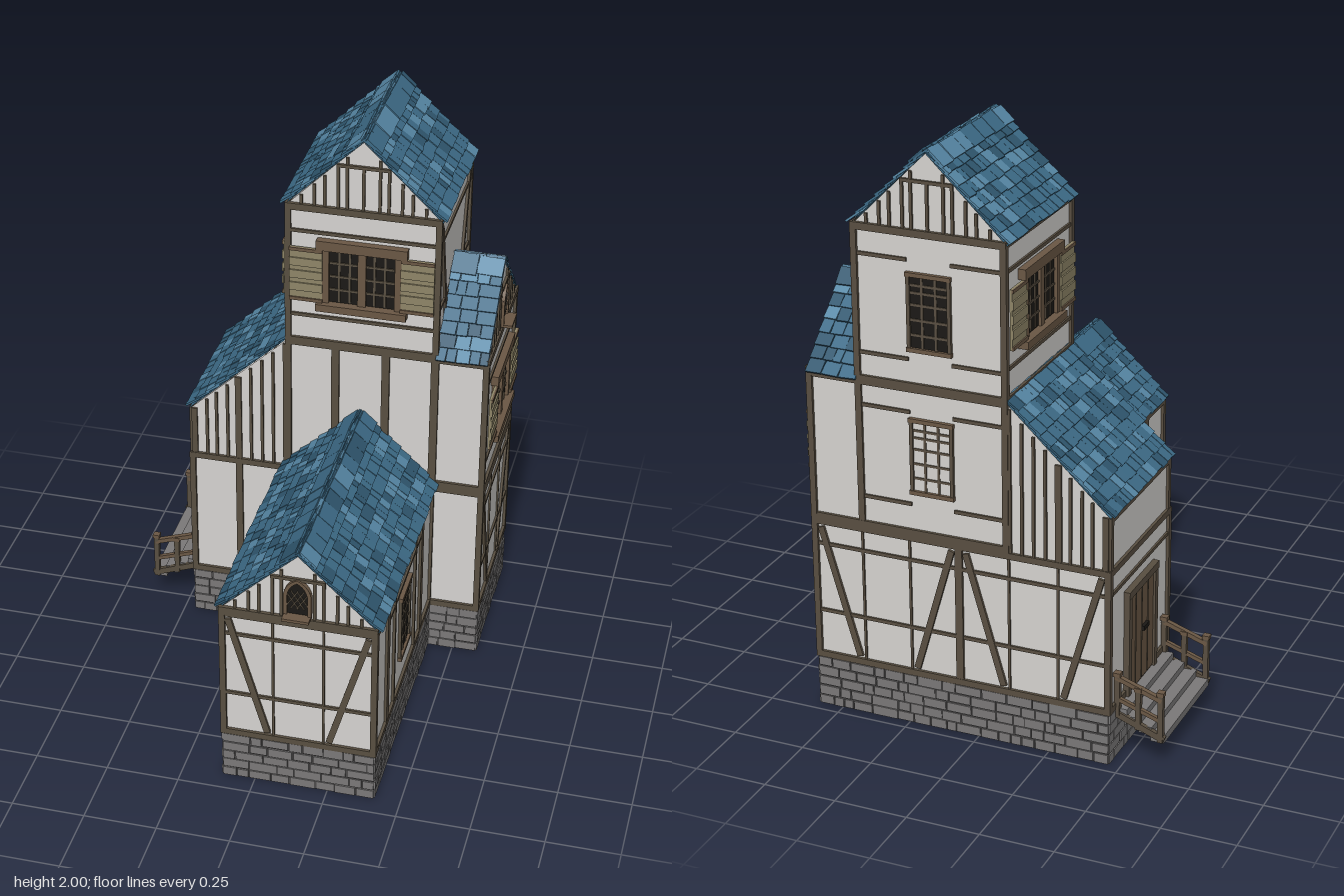
import * as THREE from 'three';
import { mergeGeometries } from 'three/addons/utils/BufferGeometryUtils.js';

const mat = (name, color, side = THREE.FrontSide) => {
  const m = new THREE.MeshStandardMaterial({ color, side });
  m.name = name;
  return m;
};

export function createModel() {
  const M = {
    plaster: mat('plaster', 0xd6d4d1, THREE.DoubleSide),
    timber: mat('timber', 0x594f41),
    frame: mat('window wood', 0x6b5845),
    pane: mat('dark glass', 0x1b1916),
    shutter: mat('shutter', 0x8f8668),
    stone: mat('stone', 0x7b7979),
    mortar: mat('mortar', 0x4c4a4a),
    slate: mat('slate blue', 0x3d6b87, THREE.DoubleSide),
    slateLight: mat('slate light', 0x5788a6),
    slateDark: mat('slate dark', 0x2f566e),
  };
  let seed = 7;
  const rnd = (a = 0, b = 1) => {
    seed = (seed * 16807) % 2147483647;
    return a + (b - a) * (seed / 2147483647);
  };
  const house = new THREE.Group();
  house.name = 'timberHouse';

  const add = (parent, name, geo, m) => {
    const mesh = new THREE.Mesh(geo, m);
    mesh.name = name;
    parent.add(mesh);
    return mesh;
  };
  const box = (p, name, m, w, h, d, x, y, z) => {
    const mesh = add(p, name, new THREE.BoxGeometry(w, h, d), m);
    mesh.position.set(x, y, z);
    return mesh;
  };
  // Straight bar between two points of a wall face
  const bar = (p, name, m, x1, y1, x2, y2, w = 0.014, d = 0.009, z = d / 2) => {
    const b = box(p, name, m, Math.hypot(x2 - x1, y2 - y1), w, d, (x1 + x2) / 2, (y1 + y2) / 2, z);
    b.rotation.z = Math.atan2(y2 - y1, x2 - x1);
    return b;
  };
  // Wall face group: local x along the wall, y up, z outward
  const face = (name, x, z, angle) => {
    const g = new THREE.Group();
    g.name = name;
    g.position.set(x, 0, z);
    g.rotation.y = angle;
    house.add(g);
    return g;
  };
  const FRONT = 0, RIGHT = Math.PI / 2, BACK = Math.PI, LEFT = -Math.PI / 2;
  // Flat convex wall panel in a face group
  const panel = (g, pts) => add(g, 'plasterWall',
    new THREE.ShapeGeometry(new THREE.Shape(pts.map(([x, y]) => new THREE.Vector2(x, y)))), M.plaster);

  // Footprints as (x, z) loops
  const ground = [[-.455, -.19], [-.105, -.19], [-.105, .675], [.405, .675], [.405, -.19], [.58, -.19], [.58, -.705], [-.455, -.705]];
  const middle = [[-.105, -.19], [.58, -.19], [.58, -.705], [-.105, -.705]];
  const tower = [[-.105, -.19], [.405, -.19], [.405, -.705], [-.105, -.705]];

  const storey = (name, loop, y0, y1, trim0, plinth) => loop.forEach(([x, z], i) => {
    const [x2, z2] = loop[(i + 1) % loop.length];
    const w = Math.hypot(x2 - x, z2 - z);
    const g = face(name, (x + x2) / 2, (z + z2) / 2, Math.atan2(-(z2 - z), x2 - x));
    panel(g, [[-w / 2, y0], [w / 2, y0], [w / 2, y1], [-w / 2, y1]]);
    for (const y of [trim0 + 0.011, y1 - 0.009]) box(g, 'wallRail', M.timber, w + 0.018, 0.022, 0.01, 0, y, 0.005);
    box(house, 'cornerPost', M.timber, 0.026, y1 - trim0, 0.026, x, (trim0 + y1) / 2, z).scale.set(0.8, 1, 0.8);
    if (!plinth) return;
    // Stone plinth: irregular blocks on a mortar backing
    box(g, 'plinthMortar', M.mortar, w + 0.006, 0.18, 0.003, 0, 0.09, 0.0025);
    const blocks = [];
    for (let r = 0; r < 5; r++) {
      for (let u = -w / 2 - 0.006; u < w / 2 + 0.005;) {
        let bw = rnd(0.035, 0.1);
        if (u + bw > w / 2 - 0.02) bw = w / 2 + 0.006 - u;
        const b = new THREE.BoxGeometry(bw - 0.005, 0.036 - rnd(0.003, 0.007), 0.006);
        b.translate(u + bw / 2, r * 0.036 + 0.018, 0.004 + rnd(0, 0.003));
        blocks.push(b);
        u += bw;
      }
    }
    add(g, 'plinthStones', mergeGeometries(blocks), M.stone);
  });
  storey('groundFloor', ground, 0, 0.69, 0.18, true);
  storey('middleFloor', middle, 0.69, 1.21, 0.69);
  storey('towerFloor', tower, 1.2, 1.73, 1.2);

  // Braced half-timber panel
  const braces = (g, cx, y0, h, studs = true) => {
    for (const s of [-1, 1]) {
      bar(g, 'brace', M.timber, cx + s * 0.235, y0 + h * 0.94, cx + s * 0.105, y0 + 0.02, 0.022);
      if (studs) bar(g, 'thinStud', M.timber, cx + s * 0.085, y0, cx + s * 0.085, y0 + h, 0.008, 0.006);
    }
    for (const f of [0.33, 0.82]) bar(g, 'rail', M.timber, cx - 0.25, y0 + h * f, cx + 0.25, y0 + h * f, 0.012, 0.007);
  };
  // Small latticed window
  const window_ = (g, cx, cy, paneMat = M.pane, w = 0.14, h = 0.25) => {
    box(g, 'windowPane', paneMat, w, h, 0.008, cx, cy, 0);
    for (const s of [-1, 1]) {
      box(g, 'windowJamb', M.timber, 0.012, h, 0.016, cx + s * w / 2, cy, 0.003);
      box(g, 'windowHead', M.frame, w + 0.016, 0.014, 0.02, cx, cy + s * h / 2, 0.004);
    }
    for (const f of [-1 / 6, 1 / 6]) box(g, 'muntin', M.timber, 0.008, h, 0.012, cx + f * w, cy, 0.001);
    for (const f of [-0.3, -0.1, 0.1, 0.26, 0.36]) box(g, 'muntin', M.timber, w, 0.008, 0.012, cx, cy + f * h, 0.001);
  };
  // Wide window with open slatted shutters
  const shuttered = (g, cy) => {
    box(g, 'windowPane', M.pane, 0.25, 0.2, 0.008, 0, cy, 0.002);
    box(g, 'windowHeader', M.frame, 0.31, 0.035, 0.028, 0, cy + 0.118, 0.012);
    box(g, 'windowSill', M.frame, 0.31, 0.026, 0.036, 0, cy - 0.115, 0.016);
    box(g, 'windowMullion', M.frame, 0.028, 0.2, 0.016, 0, cy, 0.008);
    for (const s of [-1, 1]) {
      box(g, 'windowJamb', M.frame, 0.022, 0.2, 0.018, s * 0.123, cy, 0.009);
      for (const f of [0.042, 0.078]) box(g, 'muntin', M.timber, 0.007, 0.19, 0.01, s * f, cy, 0.005);
      for (const f of [-0.05, 0, 0.05]) box(g, 'muntin', M.timber, 0.1, 0.007, 0.01, s * 0.06, cy + f, 0.005);
      box(g, 'shutter', M.shutter, 0.112, 0.2, 0.008, s * 0.19, cy, 0.016);
      for (let k = 0; k < 5; k++) box(g, 'shutterSlat', k % 4 ? M.shutter : M.frame, 0.114, k % 4 ? 0.03 : 0.012, 0.006, s * 0.19, cy - 0.094 + k * 0.047, 0.022);
    }
    for (const y of [cy - 0.165, cy + 0.155]) bar(g, 'rail', M.timber, -0.255, y, 0.255, y, 0.012, 0.007);
  };
  // Arched gable window
  const arch = (w, h) => {
    const s = new THREE.Shape();
    s.moveTo(-w / 2, 0).lineTo(w / 2, 0).lineTo(w / 2, h * 0.6);
    s.quadraticCurveTo(w * 0.42, h * 0.88, 0, h).quadraticCurveTo(-w * 0.42, h * 0.88, -w / 2, h * 0.6);
    return s;
  };
  const archedWindow = (g, y) => {
    const rim = arch(0.092, 0.145);
    rim.holes.push(new THREE.Path(arch(0.068, 0.125).getPoints(8).map(p => p.setY(p.y + 0.008))));
    add(g, 'archFrame', new THREE.ExtrudeGeometry(rim, { depth: 0.016, bevelEnabled: false, curveSegments: 8 }), M.frame).position.y = y;
    add(g, 'archPane', new THREE.ShapeGeometry(arch(0.08, 0.138)), M.pane).position.set(0, y, 0.008);
    for (const s of [-1, 1]) for (const c of [-0.018, 0.002, 0.022])
      bar(g, 'lattice', M.timber, s * (c - 0.025), y + 0.03, s * (c + 0.02), y + 0.1, 0.004, 0.003, 0.011);
    box(g, 'archSill', M.frame, 0.09, 0.01, 0.045, 0, y + 0.003, 0.0225);
  };
  // Plastered gable with studs
  const gable = (name, x, z, a, y, h, arched) => {
    const g = face(name, x, z, a);
    panel(g, [[-0.262, y], [0.262, y], [0, y + h]]);
    bar(g, 'tieBeam', M.timber, -0.265, y, 0.265, y, 0.024, 0.012);
    bar(g, 'collar', M.timber, -0.09, y + h * 0.64, 0.09, y + h * 0.64, 0.011);
    for (const u of [0.055, 0.085, 0.13, 0.165, 0.21]) for (const s of [-1, 1])
      bar(g, 'gableStud', M.timber, s * u, y, s * u, y + h * (1 - u / 0.262) - 0.008, 0.01, 0.007);
    if (arched) archedWindow(g, y + 0.02);
    else bar(g, 'gableStud', M.timber, 0, y, 0, y + h * 0.64, 0.01, 0.007);
  };

  // Ground floor timber
  braces(face('wingFront', 0.15, 0.675, FRONT), 0, 0.19, 0.5);
  braces(face('rightWallLower', 0.58, -0.4475, RIGHT), 0, 0.19, 0.5);
  const backLow = face('backWallLower', 0.0625, -0.705, BACK);
  for (const s of [-1, 1]) braces(backLow, s * 0.26, 0.19, 0.5);
  bar(backLow, 'post', M.timber, 0, 0.18, 0, 0.69, 0.026);
  for (const s of [-1, 1]) {
    const g = face('wingSide', 0.15 + s * 0.255, 0.2425, s > 0 ? RIGHT : LEFT);
    for (const [u, w] of [[0.262, 0.034], [0.16, 0.014]]) for (const k of [-1, 1])
      bar(g, 'wingPost', M.timber, k * u, 0.18, k * u, 0.69, w);
    bar(g, 'rail', M.timber, -0.26, 0.6, 0.26, 0.6, 0.012, 0.007);
    window_(g, 0, 0.435);
  }
  // Front of the cross range
  const cross = face('rangeFront', 0, -0.19, FRONT);
  bar(cross, 'post', M.timber, -0.285, 0.18, -0.285, 0.69, 0.024);
  for (const x of [0.06, 0.235, 0.405]) bar(cross, 'post', M.timber, x, 0.69, x, 1.2, 0.027);
  // Upper windows and braces
  shuttered(face('rightWindow', 0.58, -0.4475, RIGHT), 0.96);
  shuttered(face('towerFrontWindow', 0.15, -0.19, FRONT), 1.475);
  shuttered(face('towerLeftWindow', -0.105, -0.4475, LEFT), 1.475);
  braces(face('towerRight', 0.405, -0.4475, RIGHT), 0, 1.21, 0.51, false);
  const back = face('towerBack', 0.15, -0.705, BACK);
  window_(back, 0, 0.97, M.plaster);
  window_(back, 0, 1.46);
  for (const y of [0.8, 1.12, 1.3, 1.63]) for (const s of [-1, 1])
    bar(back, 'rail', M.timber, s * 0.075, y, s * 0.25, y, 0.012, 0.007);
  bar(back, 'post', M.timber, -0.255, 0.69, -0.255, 1.2, 0.022);

  // Gables
  gable('towerGableFront', 0.15, -0.19, FRONT, 1.72, 0.262);
  gable('towerGableBack', 0.15, -0.705, BACK, 1.72, 0.262);
  gable('wingGable', 0.15, 0.675, FRONT, 0.695, 0.252, true);
  gable('rightGable', 0.58, -0.4475, RIGHT, 1.21, 0.255, true);

  // Lean-to side walls with vertical studs
  for (const s of [1, -1]) {
    const g = face('leanToSide', -0.28, s > 0 ? -0.19 : -0.705, s > 0 ? FRONT : BACK);
    panel(g, s > 0 ? [[-.175, .69], [.175, .69], [.175, 1.205], [-.175, .876]] : [[-.175, .69], [.175, .69], [.175, .876], [-.175, 1.205]]);
    for (const [u, w] of [[-.165, .02], [-.12, .01], [-.085, .01], [-.045, .01], [-.005, .022], [.04, .01], [.08, .01], [.12, .01], [.165, .018]])
      bar(g, 'leanToStud', M.timber, s * u, 0.69, s * u, 1.03 + u * 0.94, w, 0.008);
  }
  const leftWall = face('leanToEnd', -0.455, -0.4475, LEFT);
  panel(leftWall, [[-.2575, .69], [.2575, .69], [.2575, .876], [-.2575, .876]]);
  bar(leftWall, 'eavePlate', M.timber, -0.26, 0.865, 0.26, 0.865, 0.02);
  for (const s of [-1, 1]) bar(leftWall, 'post', M.timber, s * 0.25, 0.69, s * 0.25, 0.87, 0.02);
  bar(leftWall, 'rail', M.timber, -0.25, 0.6, 0.25, 0.6, 0.012, 0.007);
  // Door
  box(leftWall, 'door', M.frame, 0.21, 0.35, 0.012, 0, 0.36, 0.006);
  for (const s of [-1, 1]) bar(leftWall, 'doorJamb', M.timber, s * 0.115, 0.18, s * 0.115, 0.55, 0.024, 0.02);
  bar(leftWall, 'doorHeader', M.timber, -0.13, 0.545, 0.13, 0.545, 0.026, 0.022);
  for (const u of [-0.053, 0, 0.053]) bar(leftWall, 'doorSeam', M.timber, u, 0.19, u, 0.53, 0.005, 0.014);
  box(leftWall, 'doorHandle', M.pane, 0.045, 0.016, 0.014, 0.02, 0.37, 0.016);

  // Steps and railings
  for (let i = 0; i < 4; i++) box(house, 'step', M.stone, 0.046, 0.026, 0.42, -0.478 - i * 0.0425, 0.168 - i * 0.023, -0.445);
  for (const z of [-0.235, -0.655]) {
    const g = face('stairRailing', 0, z, FRONT);
    bar(g, 'stringer', M.timber, -0.63, 0.1, -0.46, 0.165, 0.022, 0.016, 0);
    bar(g, 'handrail', M.frame, -0.62, 0.24, -0.46, 0.295, 0.016, 0.018, 0);
    bar(g, 'lowerRail', M.frame, -0.62, 0.165, -0.46, 0.22, 0.014, 0.014, 0);
    for (const [x, y0, y1] of [[-0.617, 0.09, 0.26], [-0.54, 0.12, 0.26], [-0.468, 0.16, 0.3]]) {
      box(g, 'railPost', M.timber, 0.018, y1 - y0, 0.018, x, (y0 + y1) / 2, 0);
      box(g, 'postCap', M.frame, 0.024, 0.014, 0.024, x, y1 + 0.005, 0);
    }
  }

  // Shingled slope from the middle of its top edge, running down along (dx, dy, dz)
  const slope = (name, top, drop, length, capped) => {
    const D = new THREE.Vector3(...drop), S = D.length();
    D.normalize();
    const U = new THREE.Vector3(0, 1, 0).cross(D).normalize();
    const g = new THREE.Group();
    g.name = name;
    g.applyMatrix4(new THREE.Matrix4().makeBasis(U, D.clone().cross(U), D).setPosition(...top));
    house.add(g);
    const deck = new THREE.PlaneGeometry(length, S).rotateX(-Math.PI / 2).translate(0, -0.002, S / 2);
    add(g, 'roofDeck', deck, M.slate);
    const sets = { slate: [], slateLight: [], slateDark: [] };
    const row = (s, len, wMin, wMax, lift, tilt) => {
      for (let u = -length / 2; u < length / 2 - 0.001;) {
        let w = rnd(wMin, wMax);
        if (u + w > length / 2 - 0.02) w = length / 2 - u;
        const t = new THREE.BoxGeometry(w - 0.002, 0.007, len + rnd(-0.005, 0.007));
        t.rotateX(-tilt).rotateY(rnd(-0.04, 0.04)).translate(u + w / 2, lift + rnd(0, 0.003), s);
        const k = rnd();
        sets[k < 0.6 ? 'slate' : k < 0.8 ? 'slateLight' : 'slateDark'].push(t);
        u += w;
      }
    };
    const n = Math.round(S / 0.048), p = S / n;
    for (let r = 0; r < n; r++) row((r + 0.42) * p, p * 1.25, 0.026, 0.06, 0.005, 0.13);
    if (capped) row(0.034, 0.068, 0.05, 0.09, 0.011, 0.03);
    for (const k in sets) if (sets[k].length) add(g, 'shingles', mergeGeometries(sets[k]), M[k]);
  };
  for (const s of [-1, 1]) {
    slope('towerRoof', [0.15, 1.984, -0.4475], [s * 0.27, -0.262, 0], 0.53, true);
    slope('wingRoof', [0.15, 0.95, 0.246], [s * 0.27, -0.255, 0], 0.868, true);
    slope('rightRoof', [0.497, 1.468, -0.4475], [0, -0.265, s * 0.268], 0.178, true);
  }
  slope('leanToRoof', [-0.108, 1.212, -0.4475], [-0.357, -0.337, 0], 0.53, false);

  return house;
}
